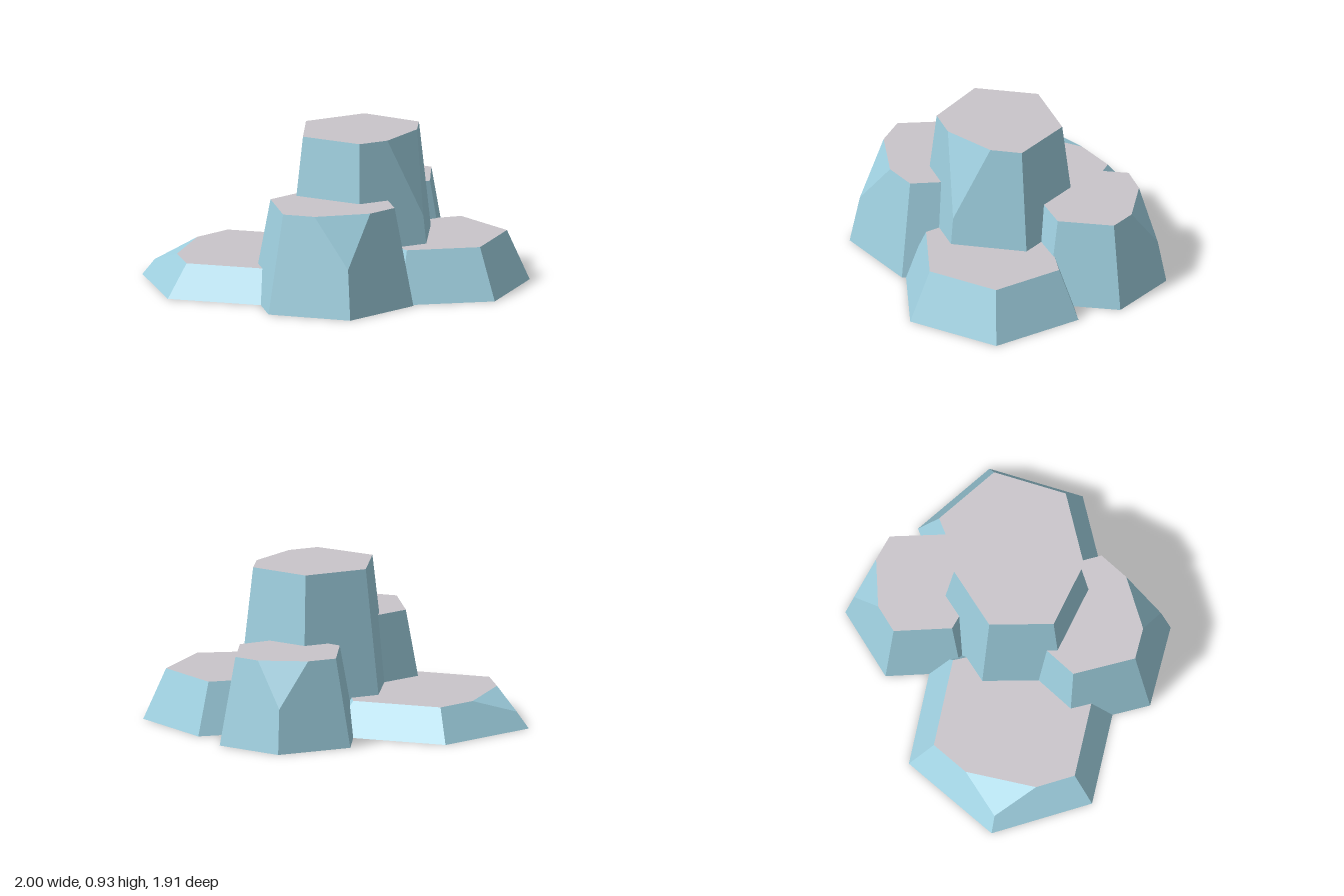
import * as THREE from 'three';
import { toCreasedNormals } from 'three/addons/utils/BufferGeometryUtils.js';

const FLARE = 1.3; // how much wider the foot of a column is than its top

// Triangulates convex polygons of Vector3 corners as fans
function fans(polygons) {
  const pts = [];
  for (const p of polygons) {
    for (let i = 1; i < p.length - 1; i++) pts.push(p[0], p[i], p[i + 1]);
  }
  return new THREE.BufferGeometry().setFromPoints(pts);
}

// Tapered six-sided rock column; top corners run clockwise seen from above.
// One corner (cut) may be chipped off by a triangular facet.
function column(name, { height, centre: [cx, cz], top, cut = -1 }, sideMat, topMat) {
  const n = top.length;
  const t = top.map(([x, z]) => new THREE.Vector3(x, height, z));
  const b = top.map(([x, z]) => new THREE.Vector3(cx + (x - cx) * FLARE, 0, cz + (z - cz) * FLARE));
  const mid = (p, q) => p.clone().lerp(q, 0.5);
  const walls = [];
  const rim = [];

  for (let i = 0; i < n; i++) {
    const j = (i + 1) % n;
    if (j === cut) {
      walls.push([b[j], b[i], t[i], mid(t[i], t[j]), mid(b[j], t[j])]);
    } else if (i === cut) {
      const h = (i + n - 1) % n;
      const apex = mid(b[i], t[i]);
      const before = mid(t[h], t[i]);
      const after = mid(t[i], t[j]);
      walls.push([b[j], b[i], apex, after, t[j]]);
      walls.push([apex, before, after]); // chipped facet
      rim.push(before, after);
    } else {
      walls.push([b[j], b[i], t[i], t[j]]);
    }
    if (i !== cut) rim.push(t[i]);
  }

  const group = new THREE.Group();
  group.name = name;
  const add = (part, geometry, material) => {
    geometry.computeVertexNormals();
    const mesh = new THREE.Mesh(geometry, material);
    mesh.name = part;
    group.add(mesh);
  };
  add('columnSides', toCreasedNormals(fans(walls), Math.PI / 3), sideMat);
  add('columnTop', fans([rim.slice().reverse()]), topMat);
  add('columnUnderside', fans([b]), sideMat);
  return group;
}

const COLUMNS = {
  tallCentreColumn: {
    height: 0.93, centre: [0.134, -0.047], cut: 2,
    top: [[-0.09, -0.35], [0.28, -0.4], [0.5, -0.1], [0.36, 0.24], [-0.01, 0.31], [-0.235, 0.01]],
  },
  lowFrontColumn: {
    height: 0.19, centre: [-0.4, 0.33], cut: 5,
    top: [[-0.81, 0.03], [-0.32, -0.19], [0.07, 0.15], [0.005, 0.59], [-0.48, 0.805], [-0.86, 0.525]],
  },
  backColumn: {
    height: 0.52, centre: [-0.14, -0.555], cut: 0,
    top: [[-0.335, -0.83], [-0.015, -0.87], [0.19, -0.61], [0.075, -0.28], [-0.26, -0.24], [-0.475, -0.505]],
  },
  lowBackColumn: {
    height: 0.3, centre: [0.43, -0.33],
    top: [[0.31, -0.75], [0.73, -0.66], [0.87, -0.245], [0.59, 0.085], [0.14, 0], [0.05, -0.345]],
  },
  frontColumn: {
    height: 0.58, centre: [0.245, 0.355], cut: 3,
    top: [[-0.04, 0.11], [0.29, -0.035], [0.6, 0.21], [0.555, 0.6], [0.2, 0.745], [-0.09, 0.51]],
  },
};

export function createModel() {
  const sideMat = new THREE.MeshStandardMaterial({ color: 0x9fd0e0 });
  sideMat.name = 'pale blue rock';
  const topMat = new THREE.MeshStandardMaterial({ color: 0xc9c5ca });
  topMat.name = 'light grey top';

  const model = new THREE.Group();
  model.name = 'rockColumns';
  for (const [name, spec] of Object.entries(COLUMNS)) {
    model.add(column(name, spec, sideMat, topMat));
  }
  return model;
}
